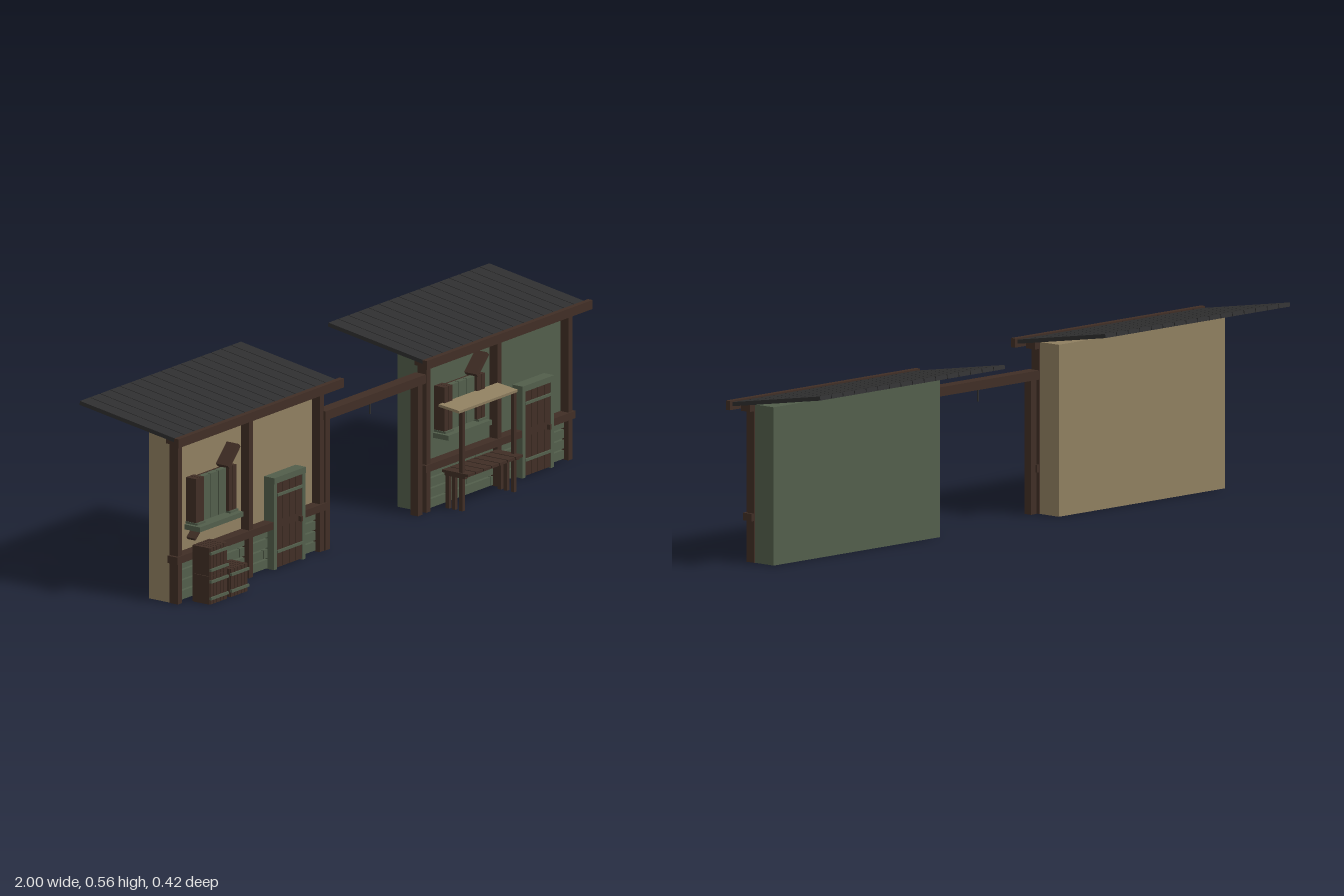
import * as THREE from 'three';

const mat = (name, color) => {
  const m = new THREE.MeshStandardMaterial({ color });
  m.name = name;
  return m;
};

export function createModel() {
  const tan = mat('tan plaster', 0x8f7f60);
  const green = mat('green paint', 0x525e4b);
  const brown = mat('dark wood', 0x402e25);
  const slate = mat('roof slate', 0x2e2e2f);
  const root = new THREE.Group();
  root.name = 'streetFronts';

  const group = (parent, name) => {
    const g = new THREE.Group();
    g.name = name;
    parent.add(g);
    return g;
  };
  // Box given by its extents on each axis
  const box = (parent, name, m, [x0, x1], [y0, y1], [z0, z1]) => {
    const mesh = new THREE.Mesh(new THREE.BoxGeometry(x1 - x0, y1 - y0, z1 - z0), m);
    mesh.position.set((x0 + x1) / 2, (y0 + y1) / 2, (z0 + z1) / 2);
    mesh.name = name;
    parent.add(mesh);
    return mesh;
  };

  // Sloping roof of narrow strips with open joints, plus the eave beam
  function roof(parent, cx, eaveY) {
    const g = group(parent, 'roof');
    const n = 16, w = 0.78 / n;
    for (let i = 0; i < n; i++) {
      const x = cx - 0.39 + i * w;
      const strip = box(g, 'roofStrip', slate, [x + 0.0015, x + w - 0.0015], [0, 0.012], [-0.178, 0.178]);
      strip.position.y = eaveY + 0.03;
      strip.position.z = -0.035;
      strip.rotation.x = 0.158;
    }
    box(g, 'eaveBeam', brown, [cx - 0.4, cx + 0.4], [eaveY - 0.014, eaveY + 0.013], [0.137, 0.153]);
  }

  // Painted weatherboards along the foot of the wall
  function boards(parent, x0, x1) {
    const g = group(parent, 'weatherboards');
    const cuts = [[0.16, 0.47, 0.8], [0.3, 0.62], [0.2, 0.45, 0.72], [0.36, 0.85]];
    cuts.forEach((row, r) => {
      const edges = [0, ...row, 1];
      for (let i = 0; i + 1 < edges.length; i++) {
        const a = x0 + (x1 - x0) * edges[i], b = x0 + (x1 - x0) * edges[i + 1];
        box(g, 'board', green, [a + 0.002, b - 0.002], [r * 0.031 + 0.003, r * 0.031 + 0.029], [0.085, 0.1]);
      }
    });
  }

  // Window with panes, open shutters, sill and a prop bar
  function windowUnit(parent, cx) {
    const g = group(parent, 'window');
    box(g, 'windowFrame', brown, [cx - 0.06, cx + 0.06], [0.23, 0.355], [0.085, 0.107]);
    for (let i = 0; i < 3; i++) {
      const x = cx - 0.057 + i * 0.039;
      box(g, 'windowPane', green, [x, x + 0.036], [0.225, 0.358], [0.1, 0.117]);
    }
    for (const s of [-1, 1]) {
      for (let i = 0; i < 2; i++) {
        const x = cx + s * (0.069 + i * 0.02);
        box(g, 'shutterBoard', brown, [x - 0.009, x + 0.009], [0.225, 0.36], [0.087, 0.124]);
      }
      box(g, 'shutterRail', green, [cx + s * 0.08 - 0.02, cx + s * 0.08 + 0.02], [0.222, 0.228], [0.087, 0.13]);
    }
    box(g, 'windowSill', green, [cx - 0.105, cx + 0.105], [0.205, 0.22], [0.087, 0.143]);
    const bar = box(g, 'propBar', brown, [cx + 0.04, cx + 0.116], [0.383, 0.397], [0.087, 0.13]);
    bar.rotation.z = 0.8;
  }

  // Plank door in a painted frame with two straps
  function door(parent, cx) {
    const g = group(parent, 'door');
    for (const s of [-1, 1]) {
      const x = cx + s * 0.069;
      box(g, 'doorJamb', green, [x - 0.007, x + 0.007], [0, 0.275], [0.085, 0.123]);
    }
    box(g, 'doorLintel', green, [cx - 0.076, cx + 0.076], [0.258, 0.276], [0.085, 0.124]);
    box(g, 'doorBacking', brown, [cx - 0.062, cx + 0.062], [0, 0.258], [0.085, 0.112]);
    for (let i = 0; i < 4; i++) {
      const x = cx - 0.062 + i * 0.031;
      box(g, 'doorPlank', brown, [x + 0.001, x + 0.03], [0.004, 0.258], [0.1, 0.121]);
    }
    for (const y of [0.052, 0.222]) box(g, 'doorStrap', green, [cx - 0.062, cx + 0.062], [y - 0.004, y + 0.004], [0.12, 0.126]);
    box(g, 'doorHandle', brown, [cx + 0.045, cx + 0.053], [0.12, 0.135], [0.12, 0.132]);
  }

  // One timber-framed house
  function house(name, cx, wall, h) {
    const g = group(root, name);
    box(g, 'wall', wall, [cx - 0.35, cx + 0.35], [0, h], [0.01, 0.087]);
    boards(g, cx - 0.34, cx + 0.34);
    for (const x of [cx - 0.343, cx, cx + 0.343]) {
      box(g, 'post', brown, [x - 0.01, x + 0.01], [0, h], [0.085, 0.116]);
    }
    box(g, 'midRail', brown, [cx - 0.362, cx + 0.362], [0.122, 0.144], [0.086, 0.121]);
    box(g, 'topRail', brown, [cx - 0.37, cx + 0.37], [h - 0.02, h + 0.005], [0.086, 0.121]);
    windowUnit(g, cx - 0.178);
    door(g, cx + 0.178);
    roof(g, cx, h - 0.003);
  }
  house('leftHouse', -0.6, tan, 0.503);
  house('rightHouse', 0.6, green, 0.463);

  // Gateway between the houses
  const gate = group(root, 'gateway');
  box(gate, 'gateBeam', brown, [-0.25, 0.235], [0.393, 0.42], [0.086, 0.124]);
  box(gate, 'gatePost', brown, [-0.243, -0.22], [0, 0.4], [0.092, 0.118]);
  box(gate, 'gatePost', brown, [0.203, 0.226], [0, 0.4], [0.092, 0.118]);
  box(gate, 'gateHook', slate, [-0.012, -0.008], [0.355, 0.395], [0.103, 0.107]);

  // Slatted crates against the left house
  function crate(cx, y) {
    const g = group(root, 'crate');
    box(g, 'crateCore', brown, [cx - 0.036, cx + 0.036], [y + 0.004, y + 0.07], [0.132, 0.186]);
    for (let i = 0; i < 5; i++) {
      const x = cx - 0.033 + i * 0.0165;
      box(g, 'crateSlat', brown, [x - 0.007, x + 0.007], [y, y + 0.084], [0.128, 0.192]);
    }
    for (const s of [-1, 1]) for (let i = 0; i < 3; i++) {
      const z = 0.14 + i * 0.02, x = cx + s * 0.039;
      box(g, 'crateSideSlat', brown, [x - 0.003, x + 0.003], [y, y + 0.084], [z - 0.008, z + 0.008]);
    }
    for (const b of [0.018, 0.068]) box(g, 'crateBand', green, [cx - 0.042, cx + 0.042], [y + b - 0.004, y + b + 0.004], [0.19, 0.197]);
  }
  crate(-0.858, 0);
  crate(-0.858, 0.085);
  crate(-0.758, 0);
  const stick = box(root, 'leaningStick', brown, [-0.892, -0.852], [0.19, 0.2], [0.1, 0.128]);
  stick.rotation.z = 0.7;

  // Market stall in front of the right house
  const stall = group(root, 'stall');
  const awning = box(stall, 'awning', tan, [0.305, 0.588], [0.3015, 0.3095], [0.117, 0.191]);
  awning.rotation.x = 0.11;
  for (const x of [0.328, 0.578]) {
    box(stall, 'awningPost', brown, [x - 0.006, x + 0.006], [0, 0.298], [0.178, 0.19]);
    for (const z of [0.136, 0.158]) {
      box(stall, 'tableLeg', brown, [x - 0.006, x + 0.006], [0, 0.107], [z - 0.006, z + 0.006]);
    }
    box(stall, 'tableBearer', brown, [x - 0.006, x + 0.006], [0.098, 0.107], [0.125, 0.2]);
  }
  for (let i = 0; i < 7; i++) {
    const x = 0.318 + i * 0.0385;
    box(stall, 'tableSlat', brown, [x, x + 0.034], [0.107, 0.115], [0.12, 0.213]);
  }
  box(stall, 'tableRail', brown, [0.322, 0.584], [0.097, 0.107], [0.182, 0.19]);

  return root;
}
